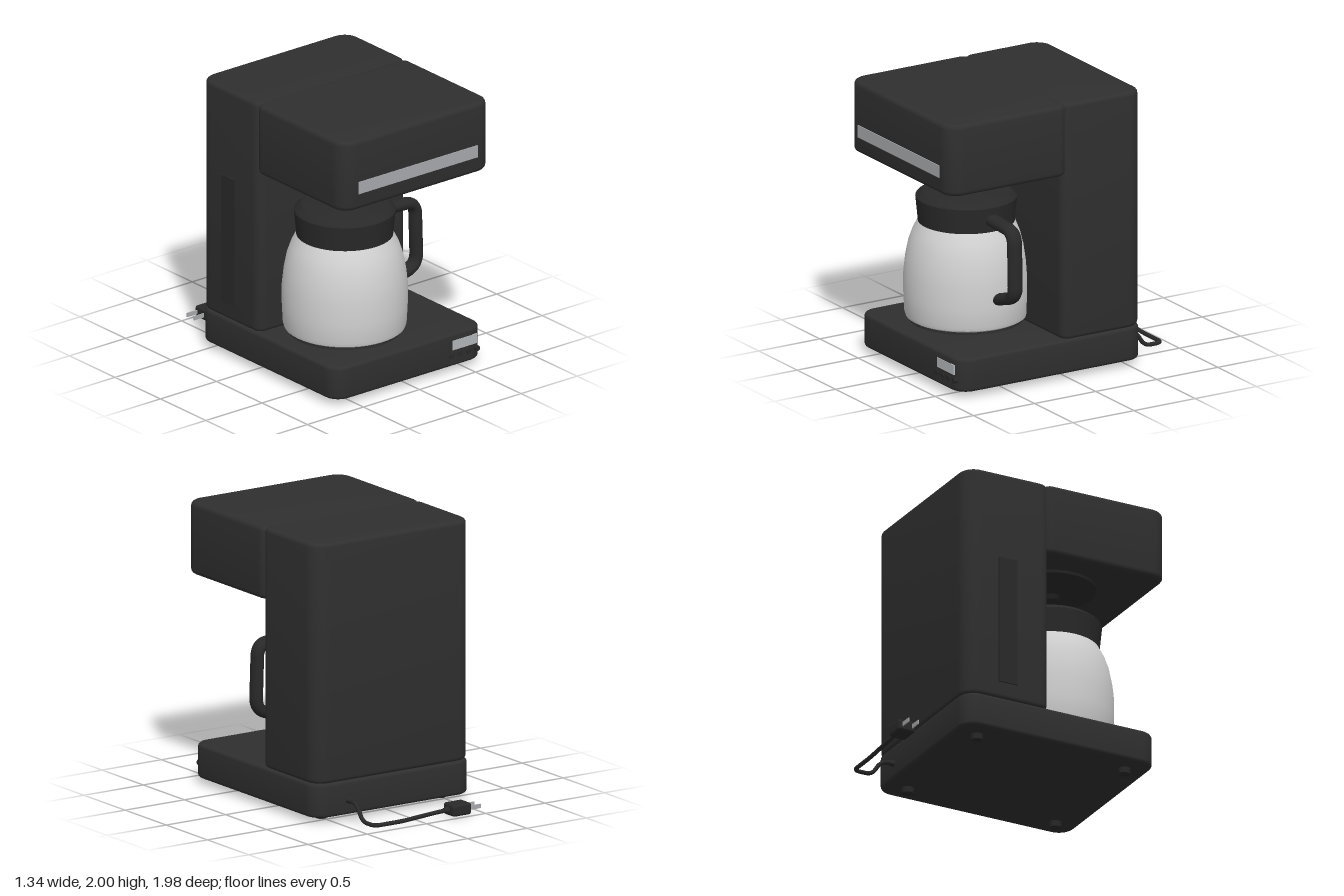
import * as THREE from 'three';
import { toCreasedNormals } from 'three/addons/utils/BufferGeometryUtils.js';
import { RoundedBoxGeometry } from 'three/addons/geometries/RoundedBoxGeometry.js';

const paint = (name, color, extra = {}) => {
  const m = new THREE.MeshStandardMaterial({ color, ...extra });
  m.name = name;
  return m;
};

// Housing block: rounded plan outline (separate front and back radii) with softened top and bottom
function slab(halfW, y0, y1, zBack, zFront, rBack, rFront, bevel) {
  const s = new THREE.Shape(), a = -zFront, b = -zBack, w = halfW;
  s.moveTo(-w + rFront, a);
  s.lineTo(w - rFront, a);
  s.absarc(w - rFront, a + rFront, rFront, -Math.PI / 2, 0);
  s.lineTo(w, b - rBack);
  s.absarc(w - rBack, b - rBack, rBack, 0, Math.PI / 2);
  s.lineTo(-w + rBack, b);
  s.absarc(-w + rBack, b - rBack, rBack, Math.PI / 2, Math.PI);
  s.lineTo(-w, a + rFront);
  s.absarc(-w + rFront, a + rFront, rFront, Math.PI, Math.PI * 1.5);
  const g = new THREE.ExtrudeGeometry(s, {
    depth: y1 - y0 - 2 * bevel, bevelEnabled: true, bevelThickness: bevel,
    bevelSize: bevel, bevelOffset: -bevel, bevelSegments: 4, curveSegments: 8,
  });
  g.rotateX(-Math.PI / 2).translate(0, y0 + bevel, 0);
  return toCreasedNormals(g, 0.6);
}

const lathe = (points, crease = 0.5) => toCreasedNormals(
  new THREE.LatheGeometry(points.map(([r, y]) => new THREE.Vector2(r, y)), 48), crease);

// Path of straight runs with rounded corners
function roundedPath(points, radius) {
  const p = points.map((v) => new THREE.Vector3(...v));
  const path = new THREE.CurvePath();
  let start = p[0];
  for (let i = 1; i < p.length - 1; i++) {
    const toPrev = p[i - 1].clone().sub(p[i]).setLength(radius).add(p[i]);
    const toNext = p[i + 1].clone().sub(p[i]).setLength(radius).add(p[i]);
    path.add(new THREE.LineCurve3(start, toPrev));
    path.add(new THREE.QuadraticBezierCurve3(toPrev, p[i], toNext));
    start = toNext;
  }
  path.add(new THREE.LineCurve3(start, p[p.length - 1]));
  return path;
}

export function createModel() {
  const model = new THREE.Group();
  model.name = 'coffeeMaker';
  const housing = paint('charcoalPlastic', 0x2f2f2f);
  const trim = paint('darkPlastic', 0x292929);
  const steel = paint('brushedSteel', 0xd2d2d2, { side: THREE.DoubleSide });
  const silver = paint('silverStrip', 0xa9aaad);
  const screen = paint('displayGrey', 0xb4b8bc);

  const add = (name, geometry, material, x = 0, y = 0, z = 0, parent = model) => {
    const mesh = new THREE.Mesh(geometry, material);
    mesh.name = name;
    mesh.position.set(x, y, z);
    parent.add(mesh);
    return mesh;
  };

  // Housing
  add('base', slab(0.665, 0.04, 0.285, -0.612, 0.898, 0.12, 0.12, 0.025), housing);
  add('waterTower', slab(0.66, 0.282, 2, -0.608, 0.05, 0.12, 0.07, 0.03), housing);
  add('brewHead', slab(0.665, 1.48, 2, 0.012, 0.982, 0.07, 0.12, 0.035), housing);
  add('headStrip', new THREE.BoxGeometry(1.06, 0.09, 0.009), silver, 0, 1.645, 0.983);
  add('waterGauge', new THREE.BoxGeometry(0.014, 0.95, 0.145), trim, -0.663, 0.88, -0.283);

  // Feet
  for (const x of [-0.5, 0.5]) {
    for (const z of [-0.44, 0.725]) {
      add('foot', new THREE.CylinderGeometry(0.045, 0.04, 0.045, 24), trim, x, 0.0225, z);
    }
  }

  // Control panel
  add('controlPanel', new THREE.BoxGeometry(0.2, 0.186, 0.008), housing, 0.448, 0.153, 0.898);
  add('display', new THREE.BoxGeometry(0.217, 0.072, 0.009), screen, 0.482, 0.2, 0.9);
  for (const x of [0.368, 0.442, 0.518, 0.595]) {
    const button = add('button', new THREE.CylinderGeometry(0.019, 0.019, 0.03, 20), trim, x, 0.124, 0.895);
    button.rotation.x = Math.PI / 2;
  }

  // Drip funnel and warming plate, in line with the jug
  const cx = -0.135, cz = 0.345;
  add('dripFunnel', lathe([[0, 1.387], [0.05, 1.387], [0.066, 1.418], [0.08, 1.42],
    [0.315, 1.462], [0.325, 1.49], [0, 1.49]]), trim, cx, 0, cz);
  add('warmingPlate', new THREE.CylinderGeometry(0.39, 0.4, 0.025, 48), trim, cx, 0.293, cz);

  // Jug
  const jug = new THREE.Group();
  jug.name = 'jug';
  jug.position.set(cx, 0, cz);
  model.add(jug);
  add('jugBody', lathe([[0, 0.305], [0.4, 0.305], [0.422, 0.318], [0.43, 0.345], [0.437, 0.48],
    [0.437, 0.63], [0.425, 0.74], [0.403, 0.85], [0.375, 0.93], [0.338, 1.002]]), steel, 0, 0, 0, jug);
  add('jugLid', lathe([[0, 0.998], [0.336, 0.998], [0.341, 1.05], [0.354, 1.18], [0.347, 1.19],
    [0.305, 1.22], [0.285, 1.225], [0.1, 1.226], [0.07, 1.235], [0, 1.235]], 0.35), trim, 0, 0, 0, jug);
  const grip = new THREE.TubeGeometry(roundedPath([[0.3, 1.09, 0], [0.625, 1.075, 0],
    [0.64, 0.6, 0], [0.4, 0.528, 0]], 0.09), 64, 0.043, 14);
  add('jugHandle', grip, trim, 0, 0, 0, jug).scale.z = 1.28;
  const gripEnd = add('jugHandleEnd', new THREE.SphereGeometry(0.043, 16, 10), trim, 0.4, 0.528, 0, jug);
  gripEnd.scale.set(0.5, 1, 1.28);

  // Power cord and plug
  const relief = add('cordRelief', new THREE.CylinderGeometry(0.015, 0.025, 0.07, 16), trim, 0.388, 0.145, -0.635);
  relief.rotation.x = -Math.PI / 2;
  const cord = roundedPath([[0.388, 0.145, -0.61], [0.388, 0.14, -0.71], [0.388, 0.026, -0.785],
    [0.388, 0.026, -0.927], [0.15, 0.026, -0.927], [-0.12, 0.045, -0.927], [-0.24, 0.05, -0.927]], 0.05);
  add('cord', new THREE.TubeGeometry(cord, 110, 0.015, 10), trim);
  const neck = add('plugNeck', new THREE.CylinderGeometry(0.017, 0.026, 0.04, 16), trim, -0.215, 0.05, -0.927);
  neck.rotation.z = -Math.PI / 2;
  add('plug', new RoundedBoxGeometry(0.158, 0.085, 0.13, 3, 0.02), trim, -0.312, 0.05, -0.927);
  for (const z of [-0.965, -0.889]) {
    add('prong', new THREE.BoxGeometry(0.1, 0.03, 0.008), silver, -0.43, 0.05, z);
  }
  return model;
}
